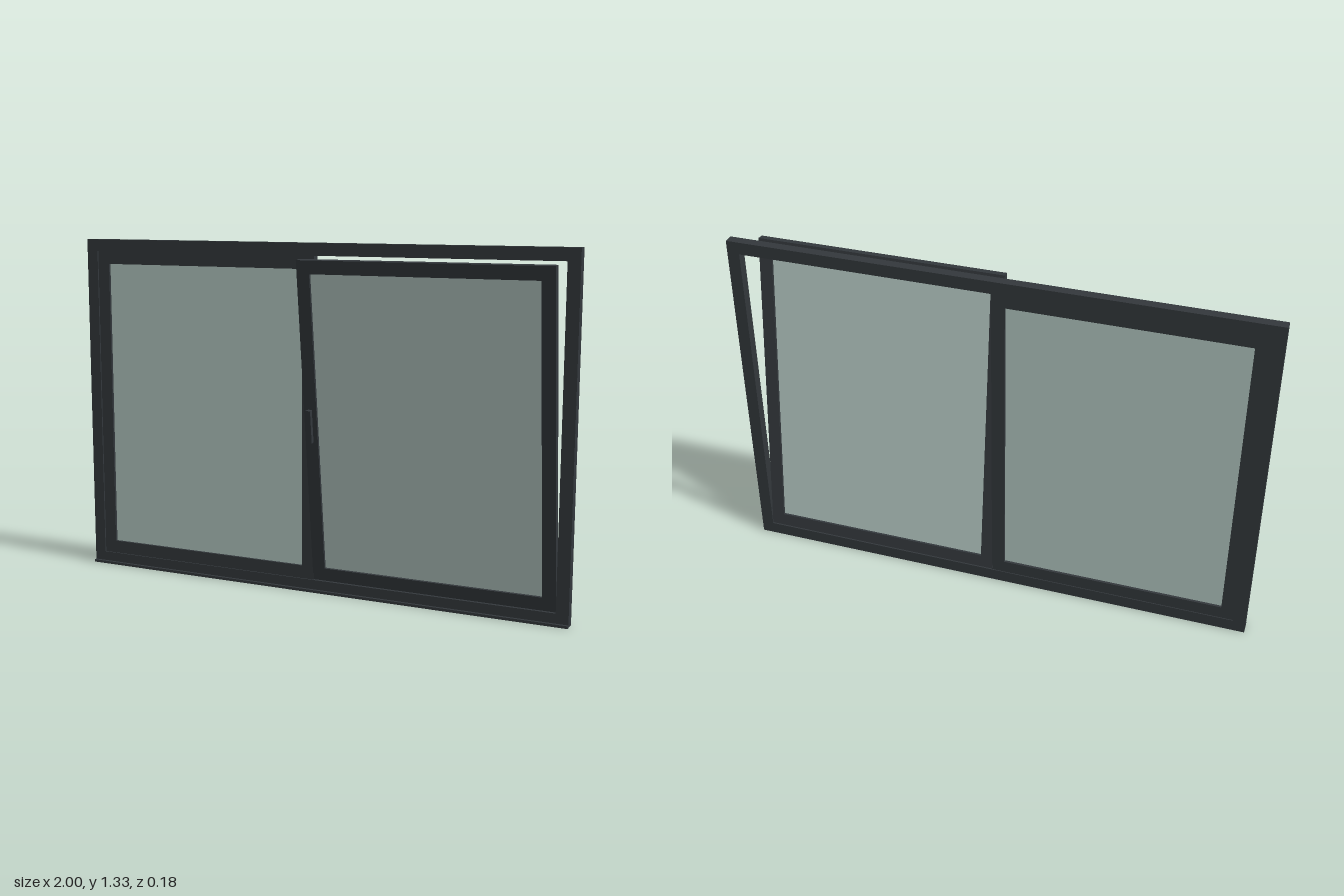
import * as THREE from 'three';

const frameMat = new THREE.MeshStandardMaterial({ color: 0x33383c });
const glassMat = new THREE.MeshStandardMaterial({ color: 0xb4c8c2 });

// Box given by its limits on each axis
function slab(name, [x0, x1], [y0, y1], [z0, z1], mat = frameMat) {
  const mesh = new THREE.Mesh(new THREE.BoxGeometry(x1 - x0, y1 - y0, z1 - z0), mat);
  mesh.position.set((x0 + x1) / 2, (y0 + y1) / 2, (z0 + z1) / 2);
  mesh.name = name;
  return mesh;
}

// Four bars around an opening: full-height stiles, rails between them
function border(name, w0, w1, height, bar, depth) {
  const g = new THREE.Group();
  g.name = name;
  const z = [-depth / 2, depth / 2];
  g.add(
    slab('rightStile', [w0, w0 + bar], [0, height], z),
    slab('leftStile', [w1 - bar, w1], [0, height], z),
    slab('bottomRail', [w0 + bar, w1 - bar], [0, bar], z),
    slab('topRail', [w0 + bar, w1 - bar], [height - bar, height], z)
  );
  return g;
}

// Bordered pane of glass
function sash(name, w0, w1, height) {
  const bar = 0.05;
  const g = border(name, w0, w1, height, bar, 0.028);
  g.add(slab('glass', [w0 + bar, w1 - bar], [bar, height - bar], [-0.004, 0.004], glassMat));
  return g;
}

export function createModel() {
  const model = new THREE.Group();
  model.name = 'window';

  // Outer frame and sill lip
  const frame = border('outerFrame', -1, 1, 1.333, 0.047, 0.037);
  frame.position.z = -0.071;
  model.add(frame, slab('sill', [-1, 1], [0, 0.01], [-0.0895, -0.041]));

  // Fixed half
  const fixed = sash('fixedSash', -0.953, 0.003, 1.239);
  fixed.position.set(0, 0.047, -0.072);
  model.add(fixed);

  // Half tilted inward about its bottom edge
  const tilted = sash('tiltedSash', 0.0, 0.952, 1.237);
  tilted.position.set(0, 0.05, -0.075);
  tilted.rotation.x = THREE.MathUtils.degToRad(7);
  model.add(tilted);

  // Handle on the inner stile
  const handle = new THREE.Group();
  handle.name = 'handle';
  handle.add(
    slab('handlePlate', [0.017, 0.031], [0.6, 0.68], [0.013, 0.02]),
    slab('handleGrip', [0.014, 0.034], [0.555, 0.68], [0.018, 0.034])
  );
  tilted.add(handle);

  return model;
}
